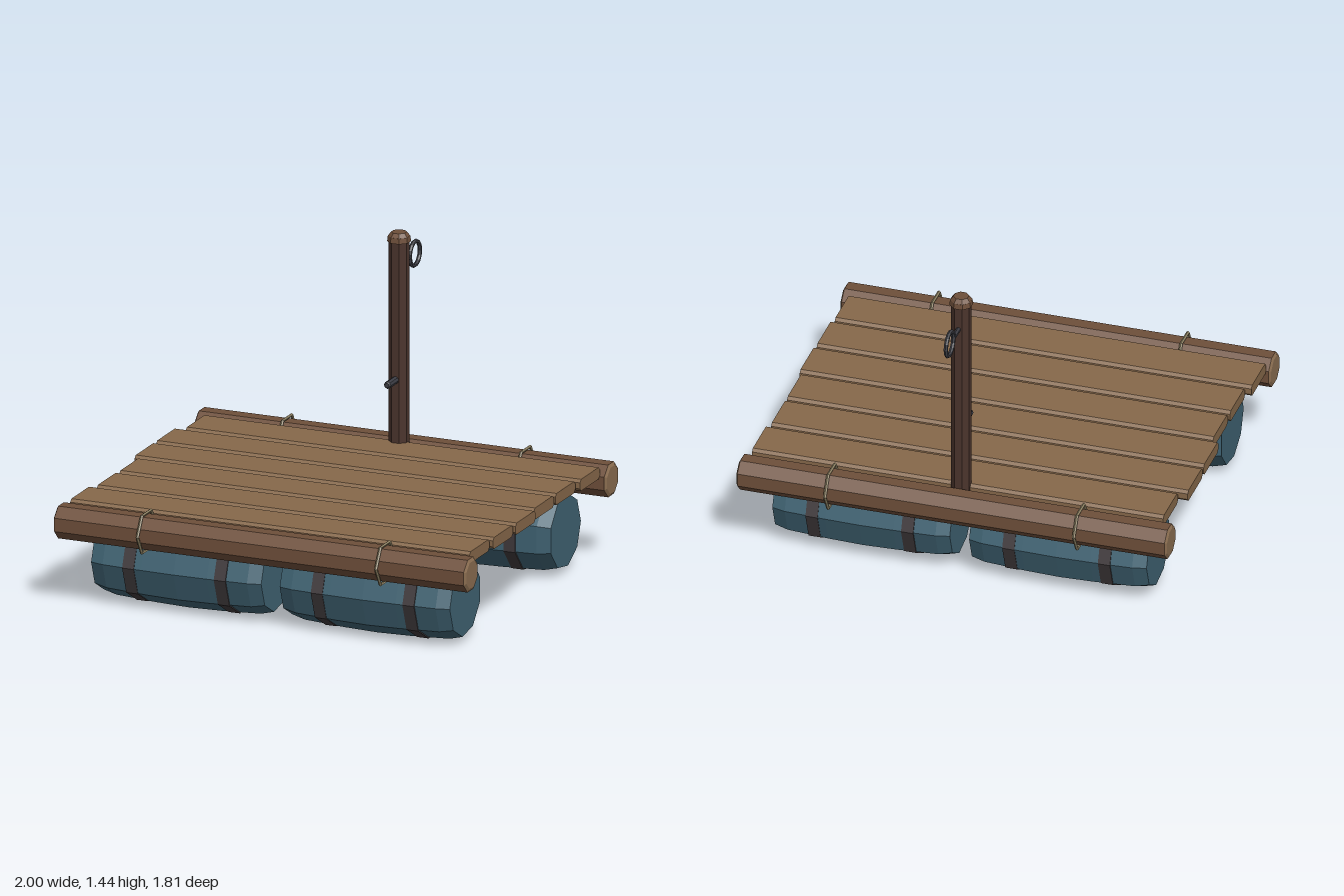
import * as THREE from 'three';

const mat = (color) => new THREE.MeshStandardMaterial({ color, flatShading: true });
const M = {
  log: mat(0x6e4f3a), cut: mat(0x8a6d50), plank: mat(0x86684a), mast: mat(0x4a342c),
  metal: mat(0x3c3d44), barrel: mat(0x3f6272), band: mat(0x3f393b), rope: mat(0x8c8062),
};

function add(parent, name, geometry, material, x = 0, y = 0, z = 0) {
  const mesh = new THREE.Mesh(geometry, material);
  mesh.name = name;
  mesh.position.set(x, y, z);
  parent.add(mesh);
  return mesh;
}

// Eight-sided post along y with its flats facing the axes
const octagon = (rTop, rBottom, h) => new THREE.CylinderGeometry(rTop, rBottom, h, 8).rotateY(Math.PI / 8);

// Plank running along x, with chamfered long edges
function plankGeometry(length, height, depth, c = 0.013) {
  const a = depth / 2, b = height / 2;
  const shape = new THREE.Shape([
    [-a + c, -b], [a - c, -b], [a, -b + c], [a, b - c],
    [a - c, b], [-a + c, b], [-a, b - c], [-a, -b + c],
  ].map(([x, y]) => new THREE.Vector2(x, y)));
  return new THREE.ExtrudeGeometry(shape, { depth: length, bevelEnabled: false })
    .translate(0, 0, -length / 2).rotateY(Math.PI / 2);
}

// Nine-sided barrel lying along x, with two bands
function makeBarrel() {
  const g = new THREE.Group();
  g.name = 'barrel';
  const profile = [[0, -0.412], [0.17, -0.412], [0.186, -0.35], [0.196, -0.16], [0.2, 0],
    [0.196, 0.16], [0.186, 0.35], [0.17, 0.412], [0, 0.412]]
    .map(([r, y]) => new THREE.Vector2(r, y));
  add(g, 'barrelBody', new THREE.LatheGeometry(profile, 9).rotateZ(Math.PI / 2), M.barrel);
  for (const x of [-0.222, 0.222])
    add(g, 'barrelBand', new THREE.CylinderGeometry(0.197, 0.197, 0.056, 9).rotateZ(Math.PI / 2), M.band, x);
  return g;
}

export function createModel() {
  const raft = new THREE.Group();
  raft.name = 'raft';

  // Deck planks, front to back, each shifted a little sideways
  const deck = [[-0.98, 0.955], [-0.955, 0.965], [-0.95, 0.97], [-0.98, 0.955], [-0.98, 0.955], [-0.94, 0.97]];
  deck.forEach(([x0, x1], i) => {
    add(raft, 'plank', plankGeometry(x1 - x0, 0.054, 0.218), M.plank, (x0 + x1) / 2, 0.44, 0.613 - i * 0.235);
  });

  for (const s of [1, -1]) {
    // Side logs with cut ends and rope lashings
    const z = 0.026 + s * 0.77, y = 0.39;
    add(raft, 'log', octagon(0.081, 0.081, 1.984).rotateZ(Math.PI / 2), M.log, 0, y, z);
    for (const e of [1, -1]) {
      add(raft, 'logEnd', octagon(0.066, 0.08, 0.008).rotateZ(-e * Math.PI / 2), M.cut, e * 0.996, y, z);
      add(raft, 'ropeLashing', new THREE.TorusGeometry(0.099, 0.008, 5, 6).rotateY(Math.PI / 2), M.rope, e * 0.578, y, z);

      // Floats
      const barrel = makeBarrel();
      barrel.position.set(e * 0.457, 0.197, 0.026 + s * 0.548);
      if (s < 0) barrel.rotation.y = Math.PI;
      raft.add(barrel);
    }
  }

  // Mast with cap, peg and hanging ring
  const mast = new THREE.Group();
  mast.name = 'mast';
  mast.position.z = -0.665;
  raft.add(mast);
  add(mast, 'mastPost', octagon(0.046, 0.046, 0.99), M.mast, 0, 0.905, 0);
  add(mast, 'mastCapBase', octagon(0.05, 0.053, 0.025), M.log, 0, 1.406, 0);
  add(mast, 'mastCapTop', octagon(0.035, 0.05, 0.018), M.log, 0, 1.428, 0);
  add(mast, 'peg', new THREE.CylinderGeometry(0.017, 0.017, 0.105, 8).rotateX(Math.PI / 2), M.metal, 0, 0.76, 0.075);
  add(mast, 'pegTip', new THREE.CylinderGeometry(0.011, 0.017, 0.006, 8).rotateX(Math.PI / 2), M.metal, 0, 0.76, 0.13);
  add(mast, 'ringArm', new THREE.CylinderGeometry(0.011, 0.011, 0.085, 6).rotateX(Math.PI / 2), M.metal, 0, 1.287, -0.075);
  add(mast, 'hangingRing', new THREE.TorusGeometry(0.056, 0.01, 6, 14).rotateY(Math.PI / 2), M.metal, 0, 1.287, -0.172);

  return raft;
}
